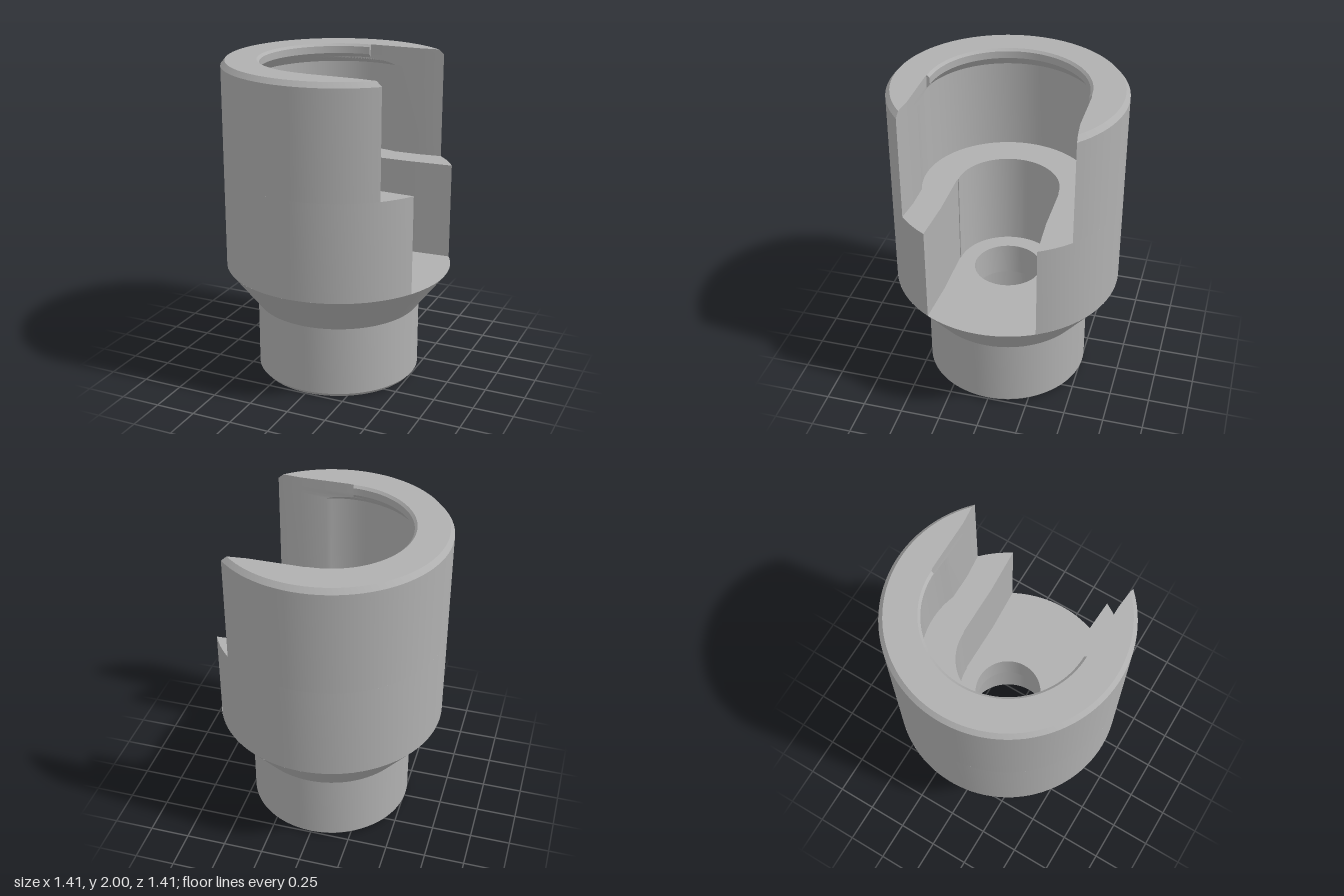
import * as THREE from 'three';
import { toCreasedNormals } from 'three/addons/utils/BufferGeometryUtils.js';

const ARC = 64; // segments in each half-round bore

// Right half of a slotted ring section: R outer radius, r bore radius,
// w slot half-width, flare = slope of the slot walls beyond the bend.
function section({ y, R, r, w, flare }) {
  const bend = 0.34;
  // where the flared wall meets the outer radius
  let x = R;
  for (let i = 0; i < 30; i++) x = Math.sqrt(R * R - (w + (x - bend) * flare) ** 2);
  const corner = [x, w + (x - bend) * flare];
  const jx = r > w ? Math.sqrt(r * r - w * w) : 0;
  const start = Math.atan2(Math.min(r, w), jx);
  const lead = [corner, [bend, w], [jx, w]];
  const inner = [...lead];
  for (let i = 0; i <= ARC; i++) {
    const a = start + (2 * Math.PI - 2 * start) * i / ARC;
    inner.push([r * Math.cos(a), r * Math.sin(a)]);
  }
  inner.push(...lead.map(([px, pz]) => [px, -pz]).reverse());
  const a0 = Math.atan2(corner[1], corner[0]);
  const last = inner.length - 1;
  const outer = inner.map((_, i) => {
    const a = a0 + (2 * Math.PI - 2 * a0) * i / last;
    return [R * Math.cos(a), R * Math.sin(a)];
  });
  const lift = ([px, pz]) => [px, y, pz];
  return { outer: outer.map(lift), inner: inner.map(lift) };
}

// Walls between successive sections, plus a flat cap on the last one
function slottedRing(levels) {
  const pos = [];
  const quad = (a, b, c, d) => pos.push(...a, ...b, ...c, ...a, ...c, ...d);
  const secs = levels.map(section);
  for (let k = 0; k < secs.length - 1; k++) {
    const lo = secs[k], hi = secs[k + 1];
    for (let i = 0; i < lo.outer.length - 1; i++) {
      quad(lo.outer[i], hi.outer[i], hi.outer[i + 1], lo.outer[i + 1]);
      quad(lo.inner[i + 1], hi.inner[i + 1], hi.inner[i], lo.inner[i]);
    }
  }
  const { outer, inner } = secs[secs.length - 1];
  for (let i = 0; i < outer.length - 1; i++) quad(outer[i], inner[i], inner[i + 1], outer[i + 1]);
  const geo = new THREE.BufferGeometry();
  geo.setAttribute('position', new THREE.Float32BufferAttribute(pos, 3));
  return toCreasedNormals(geo, 0.4);
}

export function createModel() {
  const group = new THREE.Group();
  group.name = 'slottedCoupling';
  const steel = new THREE.MeshStandardMaterial({ color: 0xb0b0b0 });
  steel.name = 'steel grey';
  const add = (name, geo) => {
    const mesh = new THREE.Mesh(geo, steel);
    mesh.name = name;
    group.add(mesh);
  };

  // Neck, conical shoulder, slot floor and stepped through bore
  const profile = [
    [0.325, 0], [0.49, 0], [0.512, 0.025], [0.512, 0.46], [0.705, 0.71],
    [0.212, 0.71], [0.212, 0.5], [0.293, 0.5], [0.293, 0.03], [0.325, 0],
  ].map(([r, y]) => new THREE.Vector2(r, y));
  add('neckAndShoulder', toCreasedNormals(new THREE.LatheGeometry(profile, 96), 0.4));

  // Narrow slot
  const mid = { R: 0.705, r: 0.315, w: 0.32, flare: 0.054 };
  add('lowerSlotBody', slottedRing([{ ...mid, y: 0.71 }, { ...mid, y: 1.315 }]));

  // Wide slot with undercut bore, retaining lip and chamfered rim
  const top = { R: 0.705, r: 0.525, w: 0.495, flare: 0.1 };
  add('upperSlotBody', slottedRing([
    { ...top, y: 1.315 },
    { ...top, y: 1.88 },
    { ...top, y: 1.898, r: 0.51 },
    { ...top, y: 1.916, r: 0.495 },
    { ...top, y: 1.94, r: 0.475 },
    { ...top, y: 1.97, r: 0.475 },
    { ...top, y: 1.985, r: 0.475, R: 0.6925 },
    { ...top, y: 2, r: 0.49, R: 0.68 },
  ]));
  return group;
}
